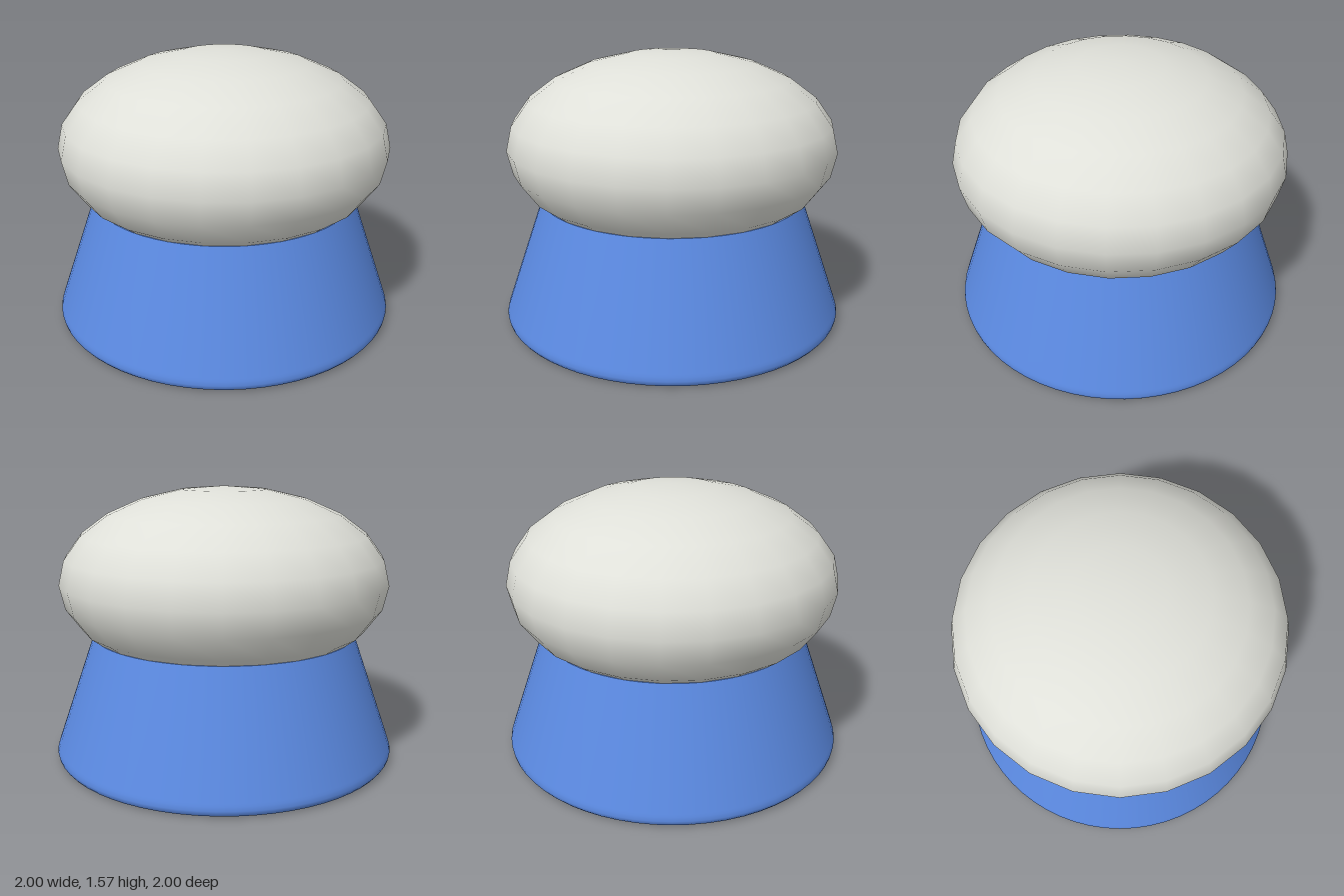
import * as THREE from 'three';

export function createModel() {
  const group = new THREE.Group();
  const blue = new THREE.MeshStandardMaterial({ color: 0x5b8ae2 });
  blue.name = 'blue';
  const offWhite = new THREE.MeshStandardMaterial({ color: 0xdfe0d9 });
  offWhite.name = 'off white';

  // Tapered base: flat underside, small rounded rim, straight cone, closed top.
  // Doubled points near the flat faces keep their shading crisp.
  const profile = [
    [0, 0], [0.95, 0], [0.965, 0.001], [0.985, 0.008], [0.996, 0.022], [1, 0.04],
    [0.995, 0.062], [0.99, 0.077], [0.768, 0.715], [0.766, 0.716], [0, 0.716],
  ].map(([r, y]) => new THREE.Vector2(r, y));
  const base = new THREE.Mesh(new THREE.LatheGeometry(profile, 64), blue);
  base.name = 'taperedBase';
  group.add(base);

  // Flattened round cap sunk into the base
  const capGeometry = new THREE.SphereGeometry(1, 24, 12);
  capGeometry.scale(0.955, 0.54, 0.955);
  const cap = new THREE.Mesh(capGeometry, offWhite);
  cap.name = 'domeCap';
  cap.position.y = 1.03;
  group.add(cap);

  return group;
}
